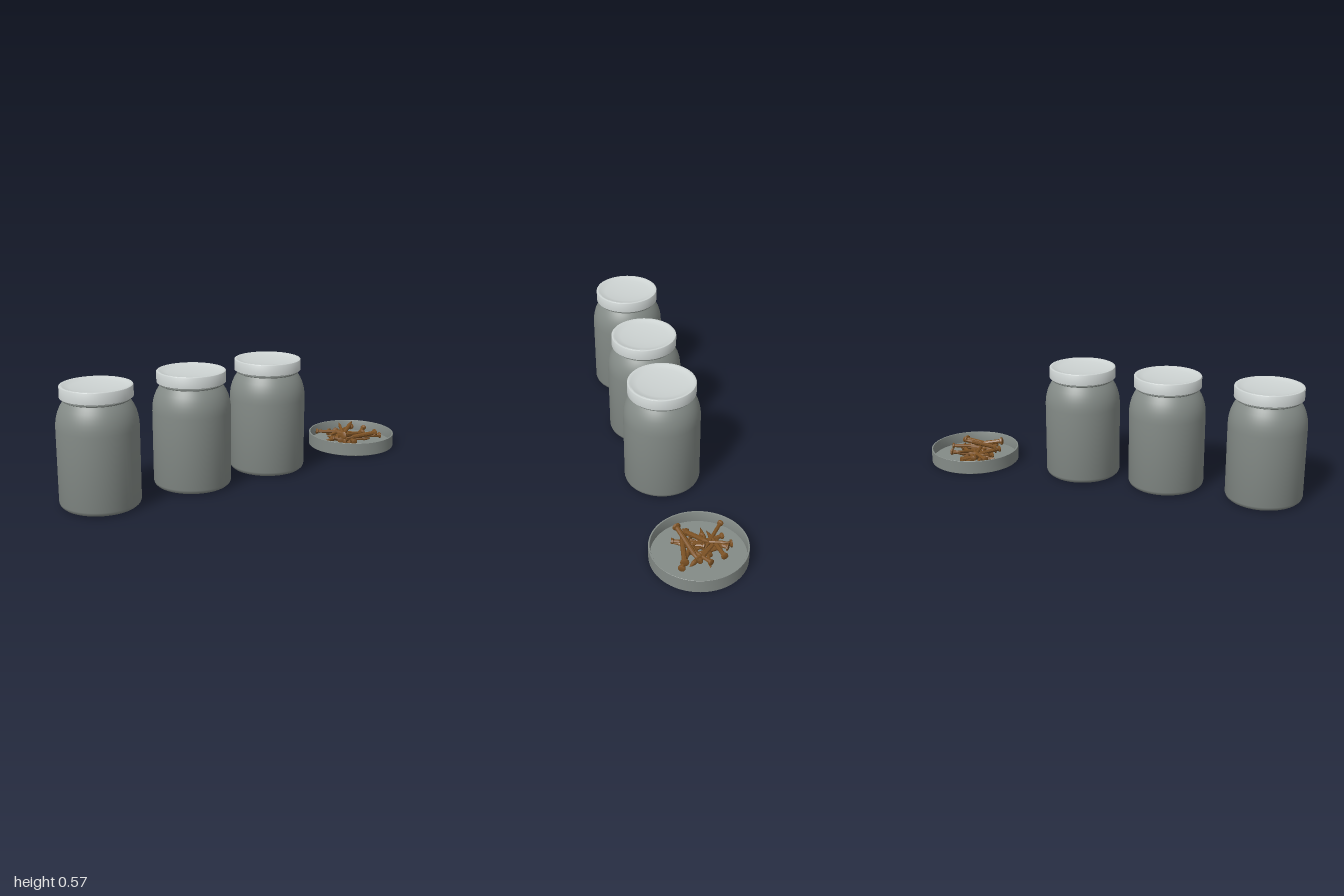
import * as THREE from 'three';
import { toCreasedNormals } from 'three/addons/utils/BufferGeometryUtils.js';

const glass = new THREE.MeshStandardMaterial({ color: 0x848b87 });
glass.name = 'grey glass';
const lidGrey = new THREE.MeshStandardMaterial({ color: 0xcdd3d2 });
lidGrey.name = 'pale lid';
const rust = new THREE.MeshStandardMaterial({ color: 0x7d5224 });
rust.name = 'rusty brown';

function turned(points, sides, crease = 0.6) {
  const profile = points.map(([r, y]) => new THREE.Vector2(r, y));
  return toCreasedNormals(new THREE.LatheGeometry(profile, sides), crease);
}

function part(name, geometry, material) {
  const mesh = new THREE.Mesh(geometry, material);
  mesh.name = name;
  return mesh;
}

// Seeded random numbers for the loose nails
function seeded(seed) {
  return () => {
    seed = (seed * 16807) % 2147483647;
    return seed / 2147483647;
  };
}

export function createModel() {
  const model = new THREE.Group();
  model.name = 'jarsAndNailDish';

  // Jar: rounded base, straight wall, curved shoulder, neck with a bead
  const jarGeo = turned([
    [0, 0], [0.168, 0], [0.178, 0.004], [0.187, 0.012], [0.191, 0.024],
    [0.191, 0.375], [0.190, 0.40], [0.186, 0.425], [0.179, 0.45],
    [0.169, 0.473], [0.158, 0.491], [0.150, 0.502], [0.156, 0.505],
    [0.157, 0.511], [0.150, 0.514], [0.148, 0.53], [0, 0.53],
  ], 64);

  // Lid: short drum with a softened rim and a slightly dished top
  const lidGeo = turned([
    [0, 0.515], [0.164, 0.515], [0.168, 0.518], [0.168, 0.569],
    [0.166, 0.572], [0.163, 0.573], [0.157, 0.573], [0.150, 0.569],
    [0.12, 0.563], [0.06, 0.558], [0, 0.557],
  ], 64);

  for (const x of [-0.81, -0.305, 0.15]) {
    const jar = new THREE.Group();
    jar.name = 'jar';
    jar.add(part('jarBody', jarGeo, glass), part('jarLid', lidGeo, lidGrey));
    jar.position.set(x, 0, 0.043);
    model.add(jar);
  }

  // Shallow open dish
  const dish = part('dish', turned([
    [0, 0], [0.231, 0], [0.233, 0.002], [0.233, 0.069], [0.232, 0.07],
    [0.226, 0.07], [0.225, 0.068], [0.225, 0.013], [0, 0.013],
  ], 64), glass);
  dish.position.x = 0.767;
  model.add(dish);

  // Nail of unit length, from its tip up to a flat head
  const nailGeo = turned([
    [0, 0], [0.6, 0.12], [1, 0.24], [1, 0.93], [1.7, 0.95], [1.7, 0.99], [1.3, 1], [0, 1],
  ], 8, 0.4);
  const nails = new THREE.Group();
  nails.name = 'nails';
  const up = new THREE.Vector3(0, 1, 0);
  function addNail(head, tip, radius) {
    const axis = head.clone().sub(tip);
    const nail = part('nail', nailGeo, rust);
    nail.scale.set(radius, axis.length(), radius);
    nail.quaternion.setFromUnitVectors(up, axis.normalize());
    nail.position.copy(tip);
    nails.add(nail);
  }

  // Upper nails: head x, y, z, tip x, y, z, radius
  const upper = [
    [0.64, 0.088, 0.08, 0.86, 0.05, 0.02, 0.012],
    [0.66, 0.062, 0.04, 0.81, 0.113, -0.04, 0.011],
    [0.72, 0.045, 0.0, 0.80, 0.083, -0.145, 0.008],
    [0.89, 0.066, -0.03, 0.74, 0.05, 0.06, 0.009],
    [0.63, 0.06, -0.14, 0.79, 0.055, -0.02, 0.009],
    [0.86, 0.06, -0.1, 0.66, 0.05, -0.06, 0.01],
    [0.87, 0.067, 0.09, 0.67, 0.06, 0.06, 0.012],
    [0.71, 0.05, -0.13, 0.76, 0.06, 0.08, 0.009],
    [0.89, 0.055, 0.11, 0.72, 0.05, 0.02, 0.01],
  ];
  for (const [a, b, c, d, e, f, r] of upper) {
    addNail(new THREE.Vector3(a, b, c), new THREE.Vector3(d, e, f), r);
  }

  // Lower nails scattered over the dish floor
  const rnd = seeded(417);
  for (let i = 0; i < 17; i++) {
    const angle = i * 2.4 + rnd() * 0.6;
    const half = 0.065 + rnd() * 0.035;
    const dx = Math.cos(angle) * half, dz = Math.sin(angle) * half;
    const x = 0.76 + (rnd() - 0.5) * 0.13, z = -0.01 + (rnd() - 0.5) * 0.14;
    const y = 0.026 + (i % 3) * 0.011, tilt = (rnd() - 0.5) * 0.012;
    addNail(new THREE.Vector3(x + dx, y + tilt, z + dz),
      new THREE.Vector3(x - dx, y - tilt, z - dz), 0.008 + rnd() * 0.004);
  }
  model.add(nails);
  return model;
}
